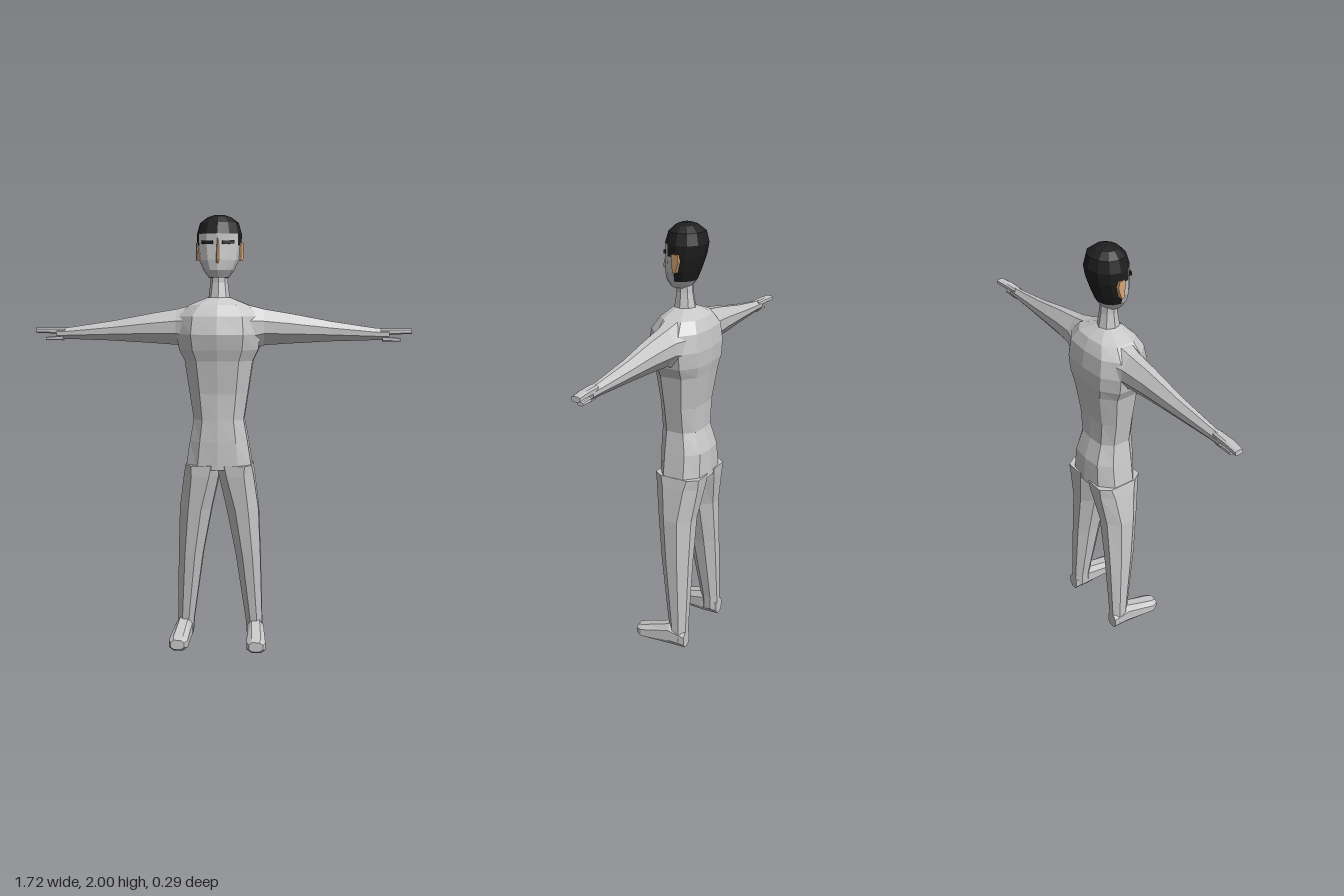
import * as THREE from 'three';

const grey = new THREE.MeshStandardMaterial({ color: 0xc8c8c8 });
grey.name = 'body grey';
const black = new THREE.MeshStandardMaterial({ color: 0x1e1e1e });
black.name = 'hair black';
const tan = new THREE.MeshStandardMaterial({ color: 0xd9a878 });
tan.name = 'skin tan';

// Faceted skin over rings of equal length; pick(ring, side) can leave quads out
function loft(rings, pick = () => true, caps = true) {
  const tris = [];
  const n = rings[0].length;
  const all = [];
  const add = (a, b, c, keep) => {
    all.push([a, b, c]);
    if (keep) tris.push([a, b, c]);
  };
  for (let r = 0; r < rings.length - 1; r++) {
    for (let k = 0; k < n; k++) {
      const a = rings[r][k], b = rings[r][(k + 1) % n];
      const c = rings[r + 1][(k + 1) % n], d = rings[r + 1][k];
      const keep = pick(r, k);
      add(a, b, c, keep);
      add(a, c, d, keep);
    }
  }
  const first = rings[0], last = rings[rings.length - 1];
  for (let k = 1; k < n - 1; k++) {
    add(first[0], first[k + 1], first[k], caps && pick(-1, k));
    add(last[0], last[k], last[k + 1], caps && pick(rings.length - 1, k));
  }
  // The signed volume tells whether the faces point inwards
  let volume = 0;
  for (const [a, b, c] of all) {
    volume += new THREE.Vector3(...a).dot(new THREE.Vector3(...b).cross(new THREE.Vector3(...c)));
  }
  const pos = tris.flatMap(([a, b, c]) => (volume > 0 ? [a, b, c] : [a, c, b])).flat();
  const geo = new THREE.BufferGeometry();
  geo.setAttribute('position', new THREE.Float32BufferAttribute(pos, 3));
  geo.computeVertexNormals();
  return geo;
}

function part(parent, name, geo, mat) {
  const mesh = new THREE.Mesh(geo, mat);
  mesh.name = name;
  parent.add(mesh);
  return mesh;
}

// Rectangle with cut corners, as [u, v] pairs
function octagon(u0, u1, v0, v1, cut = 0.3) {
  const du = (u1 - u0) * cut, dv = (v1 - v0) * cut;
  return [[u0 + du, v0], [u1 - du, v0], [u1, v0 + dv], [u1, v1 - dv],
    [u1 - du, v1], [u0 + du, v1], [u0, v1 - dv], [u0, v0 + dv]];
}

// Symmetrical torso section with a ridge along chest and spine
function torsoRing([y, w, front, back]) {
  const half = [[0.62 * w, front * 0.88], [w, front * 0.3], [w, back * 0.55], [0.62 * w, back * 0.93]];
  return [[0, y, front], ...half.map(([x, z]) => [x, y, z]),
    [0, y, back], ...half.reverse().map(([x, z]) => [-x, y, z])];
}

function ellipseRing([y, w, front, back], n) {
  return Array.from({ length: n }, (_, k) => {
    const a = (k / n) * Math.PI * 2;
    return [w * Math.sin(a), y, (front + back) / 2 + (front - back) / 2 * Math.cos(a)];
  });
}

function addHead(body) {
  const rings = [
    [1.722, 0.045, 0.055, -0.035],
    [1.755, 0.07, 0.075, -0.06],
    [1.80, 0.09, 0.078, -0.077],
    [1.865, 0.1, 0.074, -0.1],
    [1.915, 0.102, 0.075, -0.11],
    [1.965, 0.088, 0.06, -0.098],
    [1.99, 0.055, 0.033, -0.065],
    [2.0, 0.025, 0.008, -0.035],
  ].map((r) => ellipseRing(r, 12));
  // Hair covers the crown, the back and the temples
  const isHair = (r, k) => r >= 4 || (r >= 1 && k >= 3 && k <= 8) || (r === 3 && (k === 2 || k === 9));
  part(body, 'hair', loft(rings, isHair), black);
  part(body, 'face', loft(rings, (r, k) => !isHair(r, k)), grey);

  const nose = [[1.895, 0.006, 0.078], [1.80, 0.011, 0.103], [1.785, 0.01, 0.085]]
    .map(([y, w, z]) => [[-w, y, 0.065], [w, y, 0.065], [0, y, z]]);
  part(body, 'nose', loft(nose), tan);

  for (const s of [-1, 1]) {
    const brow = part(body, 'brow', new THREE.BoxGeometry(0.055, 0.015, 0.009), black);
    brow.position.set(s * 0.047, 1.877, 0.063);
    brow.rotation.set(0, s * 0.36, s * 0.06);
    const ear = [[1.80, -0.018, 0], [1.85, -0.034, 0.006], [1.878, -0.03, 0.004]]
      .map(([y, z0, z1]) => [[s * 0.085, y, z0], [s * 0.085, y, z1], [s * 0.1, y, z1], [s * 0.108, y, z0]]);
    part(body, 'ear', loft(ear), tan);
  }
  const neck = [
    [1.6, 0.056, 0.05, -0.065], [1.64, 0.048, 0.042, -0.056],
    [1.7, 0.04, 0.03, -0.045], [1.76, 0.04, 0.03, -0.042],
  ].map((r) => ellipseRing(r, 8));
  part(body, 'neck', loft(neck), grey);
}

function addLeg(body, s) {
  const leg = [
    [0.87, 0, 0.153, 0.078, -0.145, 0.2],
    [0.82, 0, 0.162, 0.075, -0.14, 0.25],
    [0.66, 0.035, 0.184, 0.056, -0.116, 0.3],
    [0.44, 0.077, 0.193, 0.03, -0.113, 0.3],
    [0.1, 0.125, 0.202, -0.02, -0.11, 0.3],
    [0.03, 0.13, 0.205, -0.02, -0.11, 0.3],
  ].map(([y, x0, x1, z1, z0, cut]) => octagon(x0, x1, z0, z1, cut).map(([x, z]) => [s * x, y, z]));
  part(body, 'leg', loft(leg), grey);

  const foot = [
    [-0.11, 0.142, 0.2, 0.08],
    [-0.03, 0.132, 0.21, 0.112],
    [0.115, 0.138, 0.226, 0.068],
    [0.143, 0.15, 0.215, 0.06],
  ].map(([z, x0, x1, h], i) => octagon(x0, x1, i === 3 ? 0.015 : 0, h, 0.25).map(([x, y]) => [s * x, y, z]));
  part(body, 'foot', loft(foot), grey);
}

function addArm(group, s) {
  // Each section is x, bottom, top, back, front
  const limb = (name, sections, cut) => part(group, name, loft(sections.map(([x, y0, y1, z0, z1]) =>
    octagon(y0, y1, z0, z1, cut).map(([y, z]) => [s * x, y, z]))), grey);
  limb('arm', [
    [0.11, 1.38, 1.605, -0.11, 0.08],
    [0.2, 1.42, 1.582, -0.08, 0.048],
    [0.32, 1.428, 1.562, -0.066, 0.036],
    [0.5, 1.438, 1.528, -0.052, 0.018],
    [0.7, 1.444, 1.498, -0.037, 0.009],
    [0.76, 1.443, 1.495, -0.036, 0.008],
  ], 0.33);
  limb('fingers', [
    [0.72, 1.466, 1.496, -0.034, 0.006],
    [0.8, 1.47, 1.496, -0.04, 0.003],
    [0.862, 1.472, 1.495, -0.046, -0.008],
  ], 0.2);
  limb('thumb', [
    [0.73, 1.438, 1.462, -0.026, 0.006],
    [0.812, 1.438, 1.453, -0.024, 0.002],
  ], 0.2);
}

export function createModel() {
  const group = new THREE.Group();
  group.name = 'figure';
  const body = new THREE.Group();
  body.name = 'body';
  body.position.x = -0.007;
  group.add(body);

  const torso = [
    [1.635, 0.05, 0.04, -0.055],
    [1.6, 0.135, 0.08, -0.11],
    [1.55, 0.18, 0.112, -0.135],
    [1.47, 0.19, 0.13, -0.145],
    [1.4, 0.18, 0.115, -0.142],
    [1.35, 0.155, 0.1, -0.133],
    [1.2, 0.133, 0.08, -0.11],
    [1.08, 0.115, 0.078, -0.108],
    [0.98, 0.133, 0.08, -0.14],
    [0.85, 0.153, 0.077, -0.145],
  ].map(torsoRing);
  part(body, 'torso', loft(torso), grey);
  addHead(body);
  for (const s of [-1, 1]) {
    addLeg(body, s);
    addArm(group, s);
  }
  return group;
}
